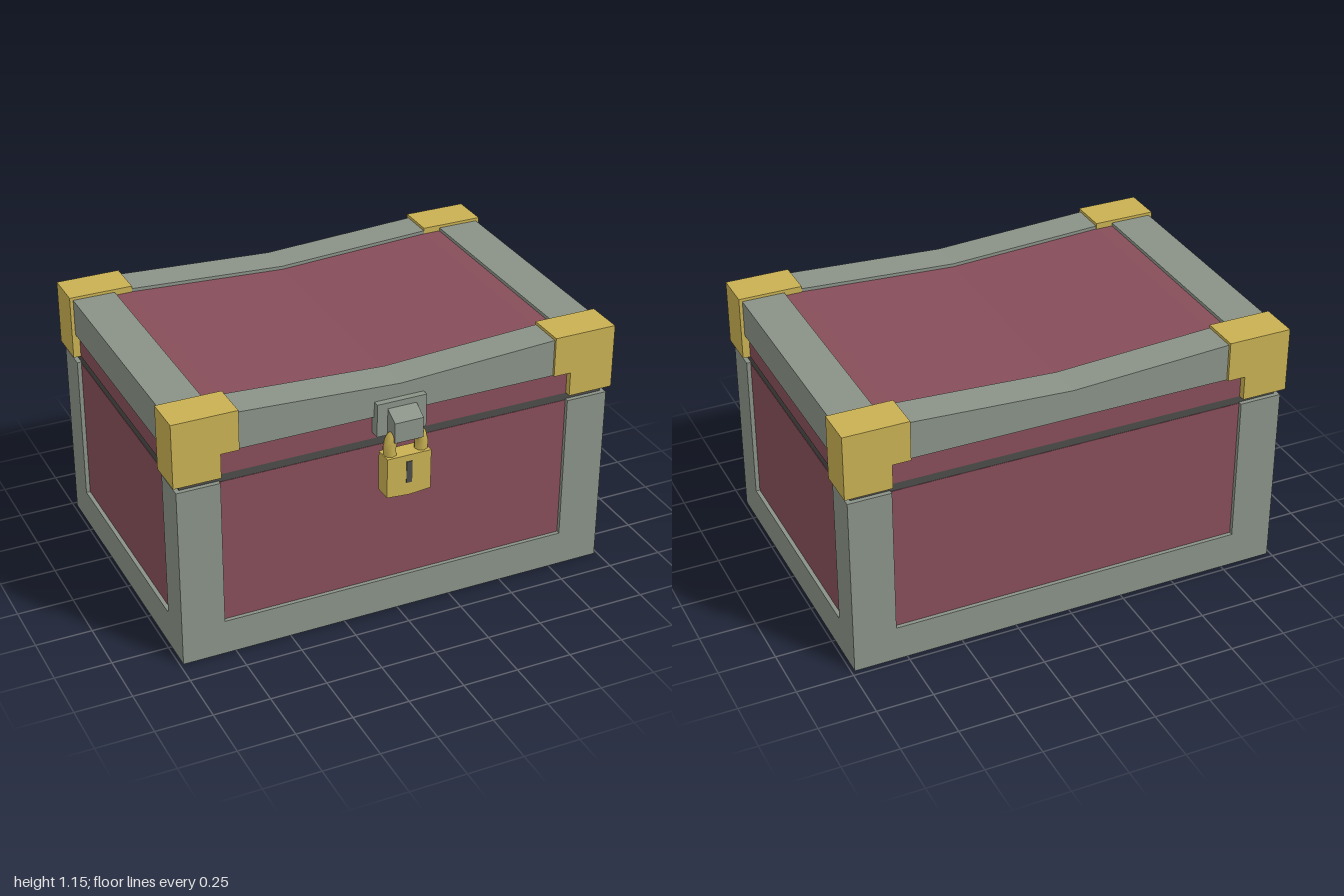
import * as THREE from 'three';

const mat = (name, color) => {
  const m = new THREE.MeshStandardMaterial({ color });
  m.name = name;
  return m;
};

export function createModel() {
  const chest = new THREE.Group();
  chest.name = 'chest';
  const grey = mat('grey frame', 0x8a9287);
  const red = mat('red panel', 0x864e59);
  const gold = mat('gold', 0xc8b052);
  const dark = mat('dark seam', 0x4b4b4a);

  const add = (name, geometry, material) => {
    const mesh = new THREE.Mesh(geometry, material);
    mesh.name = name;
    chest.add(mesh);
    return mesh;
  };
  // Box given by its limits on each axis
  const box = (name, material, [x0, x1], [y0, y1], [z0, z1]) => {
    const g = new THREE.BoxGeometry(x1 - x0, y1 - y0, z1 - z0);
    g.translate((x0 + x1) / 2, (y0 + y1) / 2, (z0 + z1) / 2);
    return add(name, g, material);
  };
  // Front outline extruded between two depths
  const slab = (name, material, points, [z0, z1]) => {
    const shape = new THREE.Shape(points.map(([x, y]) => new THREE.Vector2(x, y)));
    const g = new THREE.ExtrudeGeometry(shape, { depth: z1 - z0, bevelEnabled: false });
    return add(name, g.translate(0, 0, z0), material);
  };

  const FRONT = 0.635, BACK = -0.725, HALF = 0.985;
  const IN_FRONT = 0.475, IN_BACK = -0.565, IN_X = 0.795;
  const inner = [BACK + 0.018, FRONT - 0.018];

  // Body: base, recessed panels and dark seam under the lid
  box('base', grey, [-HALF, HALF], [0, 0.16], [BACK, FRONT]);
  box('bodyPanels', red, [-0.967, 0.967], [0.15, 0.825], inner);
  box('seam', dark, [-0.965, 0.965], [0.82, 0.865], [BACK + 0.02, FRONT - 0.02]);

  // Lid: core and front/back rails share a top that dips in the middle
  const lidOutline = (half, bottom, drop) => [
    [-half, bottom], [half, bottom], [half, 1.137 - drop], [0.72, 1.137 - drop],
    [0, 1.1 - drop], [-0.72, 1.137 - drop], [-half, 1.137 - drop],
  ];
  slab('lidPanels', red, lidOutline(0.967, 0.86, 0.015), inner);
  slab('lidFrontRail', grey, lidOutline(HALF, 0.97, 0), [IN_FRONT, FRONT]);
  slab('lidBackRail', grey, lidOutline(HALF, 0.97, 0), [BACK, IN_BACK]);

  for (const s of [-1, 1]) {
    const xs = s > 0 ? [IN_X, HALF] : [-HALF, -IN_X];
    box('lidSideRail', grey, xs, [0.97, 1.137], [IN_BACK, IN_FRONT]);
    // Body posts and the notched gold caps on the lid corners
    for (const [post, cap] of [
      [[IN_FRONT, FRONT], [0.472, 0.646]],
      [[BACK, IN_BACK], [-0.738, -0.563]],
    ]) {
      box('cornerPost', grey, xs, [0.16, 0.83], post);
      slab('cornerCap', gold, [
        [s, 0.86], [s, 1.15], [s * 0.715, 1.15], [s * 0.715, 0.97],
        [s * IN_X, 0.97], [s * IN_X, 0.86],
      ], cap);
    }
  }

  // Hasp plate and the sloped staple that holds the shackle
  const CX = -0.007;
  box('haspPlate', grey, [CX - 0.112, CX + 0.112], [0.89, 1.04], [0.6, 0.664]);
  const staple = new THREE.ExtrudeGeometry(new THREE.Shape([
    new THREE.Vector2(-0.65, 0.885), new THREE.Vector2(-0.65, 1.02),
    new THREE.Vector2(-0.732, 0.977), new THREE.Vector2(-0.732, 0.885),
  ]), { depth: 0.13, bevelEnabled: false });
  staple.rotateY(Math.PI / 2).translate(CX - 0.065, 0, 0);
  add('staple', staple, grey);

  // Padlock: shackle, pointed body and keyhole
  const path = new THREE.CatmullRomCurve3([
    [-0.07, 0.8], [-0.07, 0.87], [-0.05, 0.9], [0, 0.912],
    [0.05, 0.9], [0.07, 0.87], [0.07, 0.8],
  ].map(([x, y]) => new THREE.Vector3(CX + x, y, 0.698)));
  add('shackle', new THREE.TubeGeometry(path, 16, 0.029, 8), gold);

  const lock = slab('padlock', gold, [
    [CX - 0.1, 0.638], [CX, 0.6], [CX + 0.1, 0.638], [CX + 0.1, 0.82], [CX - 0.1, 0.82],
  ], [0.657, 0.738]);
  // Raise the front of the bottom point so the underside slopes
  const p = lock.geometry.attributes.position;
  for (let i = 0; i < p.count; i++) {
    if (p.getY(i) < 0.61 && p.getZ(i) > 0.7) p.setY(i, 0.63);
  }
  lock.geometry.computeVertexNormals();
  box('keyhole', dark, [CX - 0.013, CX + 0.013], [0.69, 0.79], [0.735, 0.741]);

  return chest;
}
